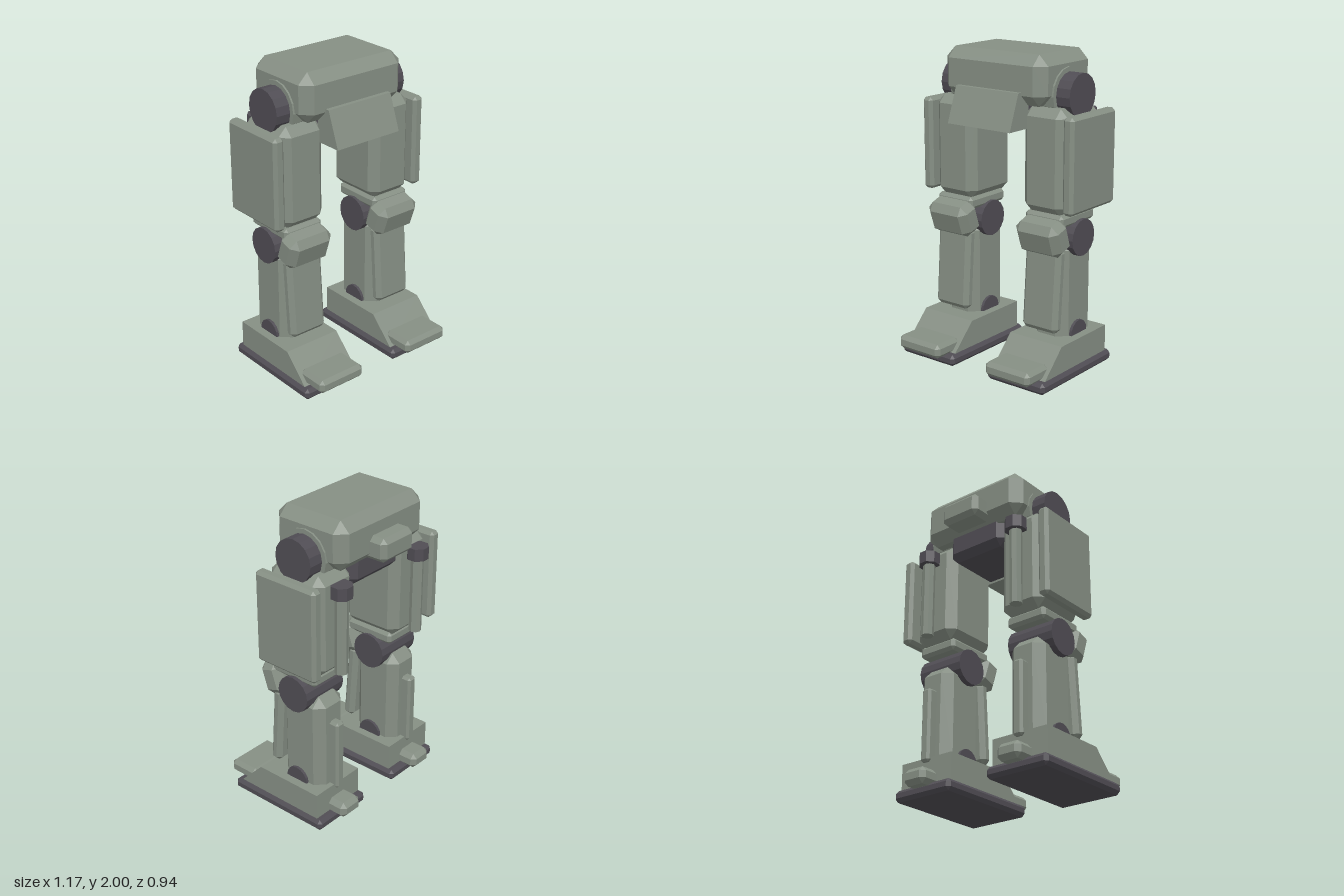
import * as THREE from 'three';
import { ConvexGeometry } from 'three/addons/geometries/ConvexGeometry.js';

const armor = new THREE.MeshStandardMaterial({ color: 0x868f84 });
armor.name = 'grey green armor';
const metal = new THREE.MeshStandardMaterial({ color: 0x504d54 });
metal.name = 'dark metal';
armor.flatShading = metal.flatShading = true;

function add(parent, name, geometry, material, x, y, z) {
  const mesh = new THREE.Mesh(geometry, material);
  mesh.name = name;
  mesh.position.set(x, y, z);
  parent.add(mesh);
  return mesh;
}

// Box with every edge cut by a chamfer c
function chamferBox(w, h, d, c) {
  const points = [];
  for (const sx of [-1, 1]) for (const sy of [-1, 1]) for (const sz of [-1, 1]) {
    const [x, y, z] = [w / 2, h / 2, d / 2];
    points.push(
      new THREE.Vector3(sx * x, sy * (y - c), sz * (z - c)),
      new THREE.Vector3(sx * (x - c), sy * y, sz * (z - c)),
      new THREE.Vector3(sx * (x - c), sy * (y - c), sz * z));
  }
  return new ConvexGeometry(points);
}

// Chamfered box given by its extents
function block(parent, name, material, [x0, x1], [y0, y1], [z0, z1], c) {
  return add(parent, name, chamferBox(x1 - x0, y1 - y0, z1 - z0, c), material,
    (x0 + x1) / 2, (y0 + y1) / 2, (z0 + z1) / 2);
}

// Cylinder lying along x
function axle(parent, name, material, [x0, x1], y, z, r) {
  const g = new THREE.CylinderGeometry(r, r, x1 - x0, 16).rotateZ(Math.PI / 2);
  return add(parent, name, g, material, (x0 + x1) / 2, y, z);
}

// Side profile of [z, y] points, extruded along x
function sidePrism(parent, name, material, profile, x, width) {
  const shape = new THREE.Shape(profile.map(([z, y]) => new THREE.Vector2(-z, y)));
  const g = new THREE.ExtrudeGeometry(shape, { depth: width, bevelEnabled: false });
  g.translate(0, 0, -width / 2).rotateY(Math.PI / 2);
  return add(parent, name, g, material, x, 0, 0);
}

function createLeg(side, name) {
  const leg = new THREE.Group();
  leg.name = name;
  const span = (a, b) => (side > 0 ? [a, b] : [-b, -a]);
  const cx = 0.355 * side;

  // Hip joint
  axle(leg, 'hipCollar', armor, span(0.25, 0.4), 1.75, -0.095, 0.165);
  axle(leg, 'hipCap', metal, span(0.3, 0.497), 1.75, -0.095, 0.136);

  // Thigh with its side shield and rear piston
  block(leg, 'thigh', armor, span(0.188, 0.505), [1.03, 1.685], [-0.3, 0.115], 0.055);
  block(leg, 'thighShield', armor, span(0.51, 0.587), [1.06, 1.655], [-0.332, 0.132], 0.02);
  add(leg, 'thighPiston', new THREE.CylinderGeometry(0.04, 0.04, 0.52, 8), armor, cx, 1.31, -0.338);
  add(leg, 'pistonCap', new THREE.CylinderGeometry(0.07, 0.07, 0.08, 8).rotateY(Math.PI / 8),
    metal, cx, 1.59, -0.338);

  // Knee
  block(leg, 'kneeCollar', armor, span(0.212, 0.495), [0.96, 1.04], [-0.25, 0.1], 0.02);
  axle(leg, 'kneeAxle', metal, span(0.192, 0.52), 0.875, -0.095, 0.117);
  const guard = block(leg, 'kneeGuard', armor, span(0.195, 0.515), [0.79, 1.01], [0.015, 0.185], 0.045);
  guard.rotation.x = 0.33;

  // Shin with its front guard and rear strut
  block(leg, 'shin', armor, span(0.23, 0.48), [0.18, 0.86], [-0.275, 0.052], 0.058);
  const plate = block(leg, 'shinGuard', armor, span(0.222, 0.488), [0.295, 0.83], [0.045, 0.13], 0.028);
  plate.rotation.x = -0.07;
  block(leg, 'shinStrut', armor, span(0.32, 0.39), [0.22, 0.695], [-0.337, -0.25], 0.015);

  // Ankle and foot
  axle(leg, 'ankleAxle', metal, span(0.212, 0.498), 0.25, -0.095, 0.082);
  sidePrism(leg, 'foot', armor,
    [[0.34, 0.07], [0.165, 0.247], [-0.31, 0.247], [-0.31, 0.07]], cx, 0.396);
  block(leg, 'sole', metal, span(0.135, 0.575), [0, 0.075], [-0.355, 0.385], 0.022);
  block(leg, 'toe', armor, span(0.185, 0.525), [0.065, 0.157], [0.25, 0.47], 0.025);
  block(leg, 'heel', armor, span(0.27, 0.44), [0.055, 0.16], [-0.433, -0.25], 0.03);
  return leg;
}

export function createModel() {
  const model = new THREE.Group();
  model.name = 'walkerLegs';

  // Pelvis
  block(model, 'pelvis', armor, [-0.388, 0.388], [1.69, 2], [-0.367, 0.17], 0.066);
  block(model, 'pelvisCore', metal, [-0.22, 0.22], [1.54, 1.8], [-0.31, 0.11], 0.045);
  block(model, 'rearPack', armor, [-0.143, 0.143], [1.71, 1.86], [-0.473, -0.3], 0.03);
  sidePrism(model, 'frontSkirt', armor,
    [[0.28, 1.55], [0.198, 1.775], [0.1, 1.775], [0.1, 1.55]], 0, 0.48);

  model.add(createLeg(1, 'leftLeg'), createLeg(-1, 'rightLeg'));
  return model;
}
